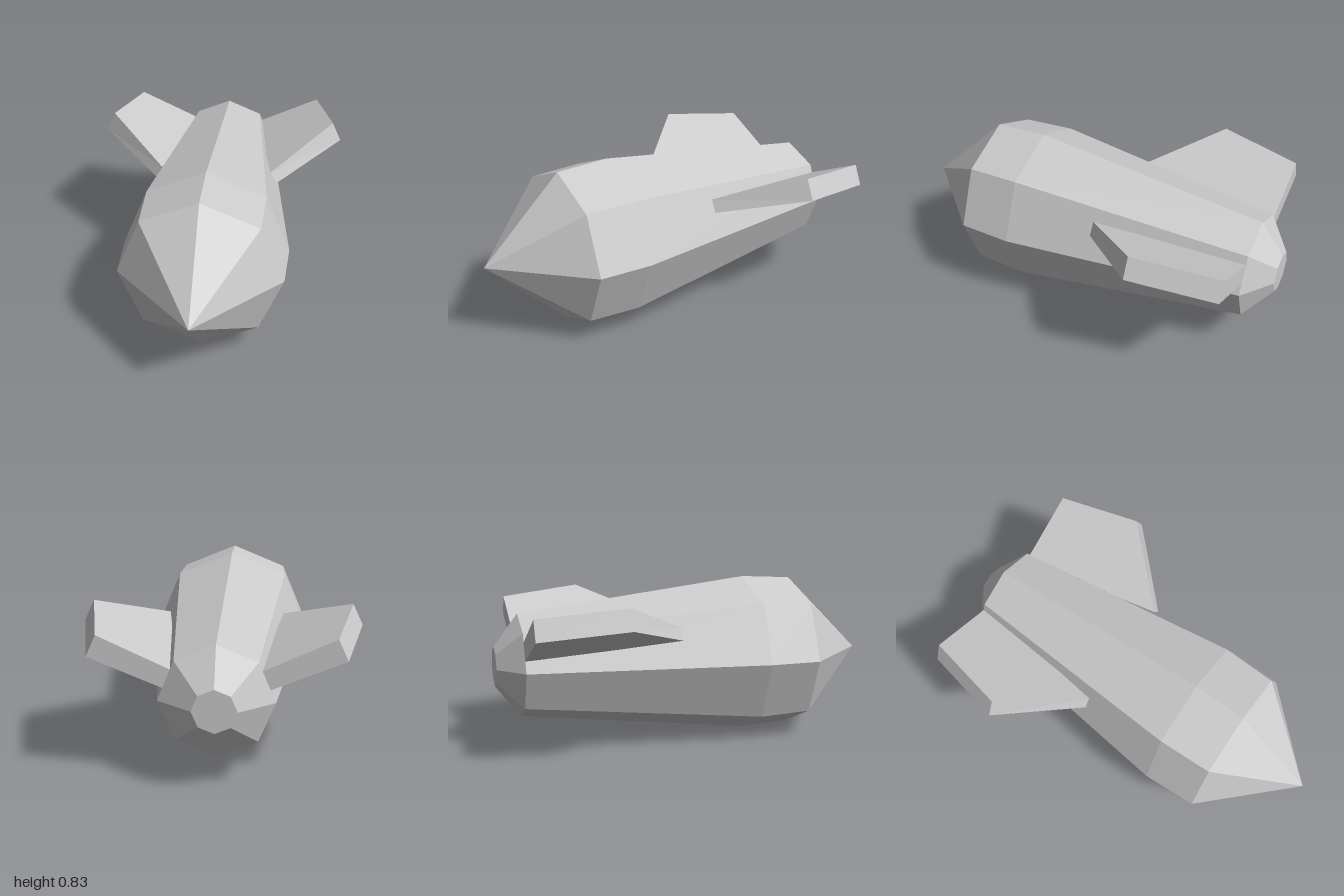
import * as THREE from 'three';

const material = new THREE.MeshStandardMaterial({ color: 0xcccccc, flatShading: true });

// Eight-sided hull, turned around the z axis from (radius, z) pairs, tail to nose
function makeHull() {
  const profile = [[0, -1], [0.1, -1], [0.26, -0.88], [0.413, 0.32], [0.4, 0.59], [0, 1]];
  const geometry = new THREE.LatheGeometry(profile.map(([r, z]) => new THREE.Vector2(r, z)), 8);
  geometry.rotateX(Math.PI / 2);
  const hull = new THREE.Mesh(geometry, material);
  hull.name = 'hull';
  hull.position.y = 0.417;
  return hull;
}

// Swept fin: a four-cornered outline on top joined to one below, mirrored by side
function makeFin(side, name) {
  // front root, front tip, back tip, back root
  const top = [[0.29, 0.61, -0.12], [0.61, 0.755, -0.46], [0.52, 0.71, -0.88], [0.17, 0.547, -0.88]];
  const bottom = [[0.325, 0.55, -0.12], [0.657, 0.655, -0.46], [0.565, 0.612, -0.88], [0.21, 0.465, -0.88]];
  const corners = [...top, ...bottom].map(([x, y, z]) => [x * side, y, z]);
  const faces = [[0, 1, 3], [1, 2, 3], [4, 7, 5], [5, 7, 6]];
  for (let i = 0; i < 4; i++) {
    const j = (i + 1) % 4;
    faces.push([i, i + 4, j + 4], [i, j + 4, j]);
  }
  const index = faces.flatMap(([a, b, c]) => (side > 0 ? [a, b, c] : [a, c, b]));
  let geometry = new THREE.BufferGeometry();
  geometry.setAttribute('position', new THREE.Float32BufferAttribute(corners.flat(), 3));
  geometry.setIndex(index);
  geometry = geometry.toNonIndexed();
  geometry.computeVertexNormals();
  const fin = new THREE.Mesh(geometry, material);
  fin.name = name;
  return fin;
}

export function createModel() {
  const model = new THREE.Group();
  model.name = 'finnedRocket';
  model.add(makeHull(), makeFin(1, 'leftFin'), makeFin(-1, 'rightFin'));
  return model;
}
